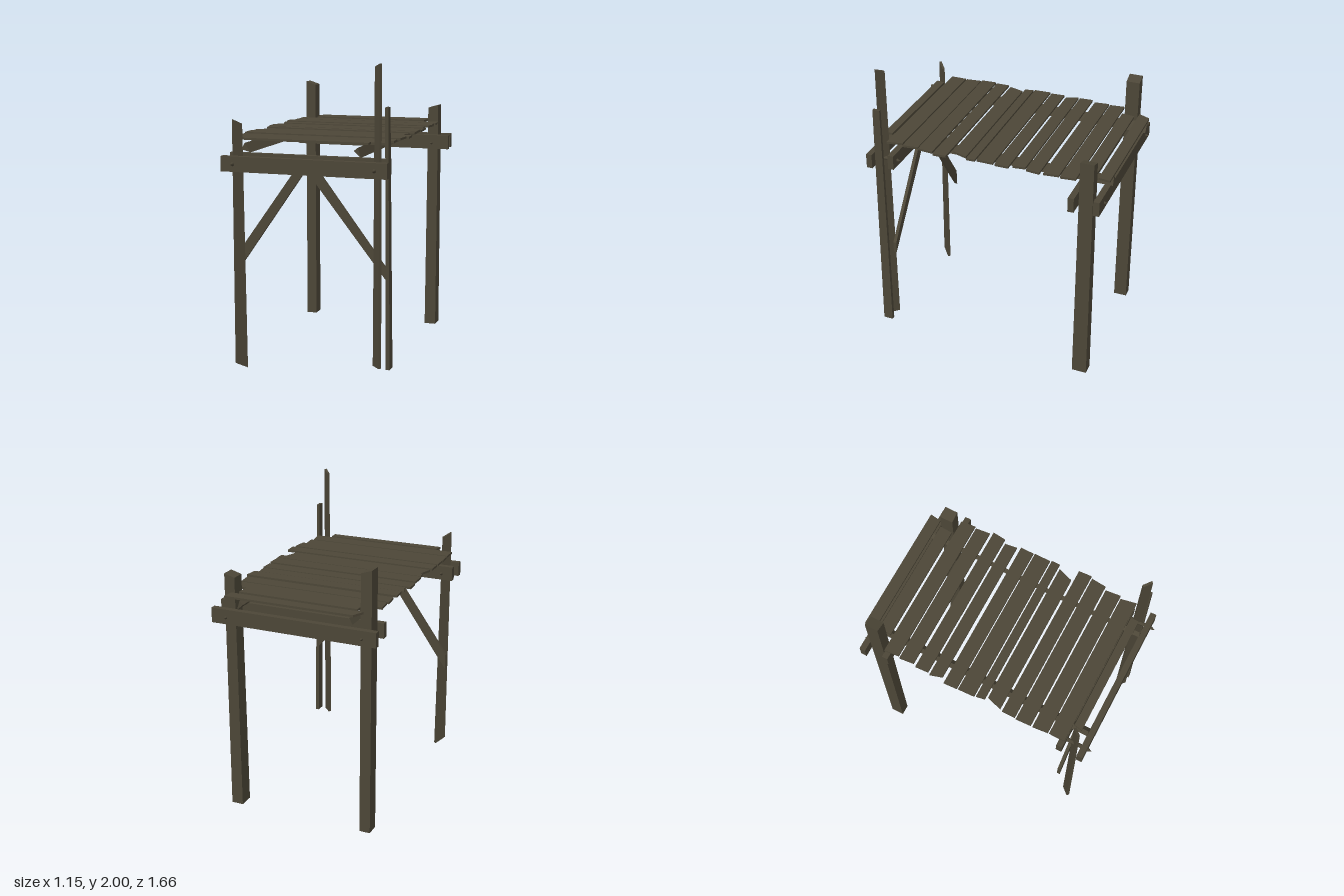
import * as THREE from 'three';

const wood = new THREE.MeshStandardMaterial({ color: 0x4c4637 });
wood.name = 'weatheredWood';

export function createModel() {
  const model = new THREE.Group();
  model.name = 'woodenPlatform';

  const add = (name, geometry) => {
    const mesh = new THREE.Mesh(geometry, wood);
    mesh.name = name;
    model.add(mesh);
    return mesh;
  };

  const extrude = (points, depth) => new THREE.ExtrudeGeometry(
    new THREE.Shape(points.map(([x, y]) => new THREE.Vector2(x, y))),
    { depth, bevelEnabled: false });

  // Upright board: tapers, leans from bottom [x,y,z] to top [x,y,z], with slanted cut ends
  const post = (name, bottom, top, width, depth, { turn = 0, taper = 1, cutTop = 0, cutBottom = 0 } = {}) => {
    const g = new THREE.BoxGeometry(width, 1, depth);
    const p = g.attributes.position;
    const c = Math.cos(turn), s = Math.sin(turn);
    for (let i = 0; i < p.count; i++) {
      const up = p.getY(i) > 0;
      const end = up ? top : bottom;
      const k = up ? taper : 1;
      const x = p.getX(i) * k, z = p.getZ(i) * k;
      const cut = Math.sign(x) * (up ? cutTop : cutBottom);
      p.setXYZ(i, end[0] + x * c + z * s, end[1] + cut, end[2] - x * s + z * c);
    }
    g.computeVertexNormals();
    return add(name, g);
  };

  // Four corner uprights and a loose board
  post('backRightPost', [-0.485, 0.01, -0.695], [-0.485, 1.765, -0.695], 0.072, 0.09, { cutTop: -0.012 });
  post('backLeftPost', [0.448, 0.01, -0.69], [0.45, 1.62, -0.69], 0.08, 0.1, { taper: 0.9, cutTop: 0.01 });
  post('frontRightPost', [-0.475, 0.02, 0.72], [-0.482, 1.62, 0.716], 0.078, 0.02,
    { turn: Math.PI / 4, taper: 0.8, cutTop: -0.015, cutBottom: -0.02 });
  post('frontLeftPost', [0.447, 0.1, 0.715], [0.445, 1.99, 0.71], 0.075, 0.02,
    { turn: -Math.PI / 4, taper: 0.8, cutTop: 0.01 });
  post('looseBoard', [0.527, 0.1, 0.717], [0.508, 1.74, 0.717], 0.026, 0.065, { taper: 0.75 });

  // Paired cross beams clamping the posts: x from, x to, z, y
  const beams = [
    [-0.56, 0.53, 0.785, 1.36],
    [-0.56, 0.505, 0.642, 1.365],
    [-0.56, 0.572, -0.62, 1.37],
    [-0.575, 0.552, -0.778, 1.365],
  ];
  for (const [x0, x1, z, y] of beams) {
    add('crossBeam', new THREE.BoxGeometry(x1 - x0, 0.098, 0.04)).position.set((x0 + x1) / 2, y, z);
  }

  // Pegs through the beams, pointed at both ends
  const pegProfile = [[0, -0.12], [0.014, -0.09], [0.014, 0.09], [0, 0.12]]
    .map(([r, y]) => new THREE.Vector2(r, y));
  for (const x of [-0.48, 0.45]) for (const z of [0.715, -0.7]) {
    const peg = add('peg', new THREE.LatheGeometry(pegProfile, 6));
    peg.rotation.x = Math.PI / 2;
    peg.position.set(x, 1.36, z);
  }

  // Diagonal braces under the front beam
  const braces = {
    rightBrace: [[-0.12, 1.31], [-0.525, 0.74], [-0.53, 0.625], [-0.45, 0.735], [-0.05, 1.31]],
    leftBrace: [[-0.03, 1.31], [0.42, 0.74], [0.49, 0.65], [0.49, 0.725], [0.05, 1.31]],
  };
  for (const [name, points] of Object.entries(braces)) {
    add(name, extrude(points, 0.022)).position.z = 0.645;
  }

  // Three-sided stringers beneath the deck
  const stringers = [
    [[-0.41, 1.493], [-0.43, 1.452], [-0.37, 1.435]],
    [[0.335, 1.493], [0.31, 1.472], [0.355, 1.432]],
  ];
  for (const points of stringers) add('stringer', extrude(points, 1.59)).position.z = -0.82;

  // Deck planks: back z, front z, then left and right x at the back and the front edge
  const planks = [
    [-0.825, -0.748, -0.435, 0.44, -0.47, 0.43],
    [-0.725, -0.638, -0.42, 0.39, -0.43, 0.385],
    [-0.622, -0.522, -0.54, 0.49, -0.53, 0.5],
    [-0.512, -0.413, -0.54, 0.49, -0.53, 0.5],
    [-0.392, -0.302, -0.545, 0.515, -0.54, 0.505],
    [-0.288, -0.205, -0.55, 0.48, -0.525, 0.49],
    [-0.182, -0.09, -0.555, 0.505, -0.55, 0.505],
    [-0.08, 0.032, -0.55, 0.505, -0.545, 0.505],
    [0.042, 0.1, -0.54, 0.512, -0.53, 0.512],
    [0.113, 0.215, -0.51, 0.485, -0.54, 0.45],
    [0.232, 0.322, -0.55, 0.53, -0.55, 0.535],
    [0.332, 0.435, -0.555, 0.52, -0.55, 0.51],
    [0.446, 0.55, -0.55, 0.49, -0.54, 0.5],
    [0.558, 0.665, -0.54, 0.48, -0.54, 0.5],
    [0.675, 0.73, -0.42, 0.39, -0.43, 0.39],
  ];
  planks.forEach(([z0, z1, a0, a1, b0, b1], i) => {
    const points = [[b0, -z1], [b1, -z1], [a1, -z0], [a0, -z0]];
    const plank = add('deckPlank', extrude(points, 0.014));
    plank.rotation.x = -Math.PI / 2;
    plank.position.y = 1.502 + 0.004 * Math.sin(i * 1.9);
  });

  return model;
}
